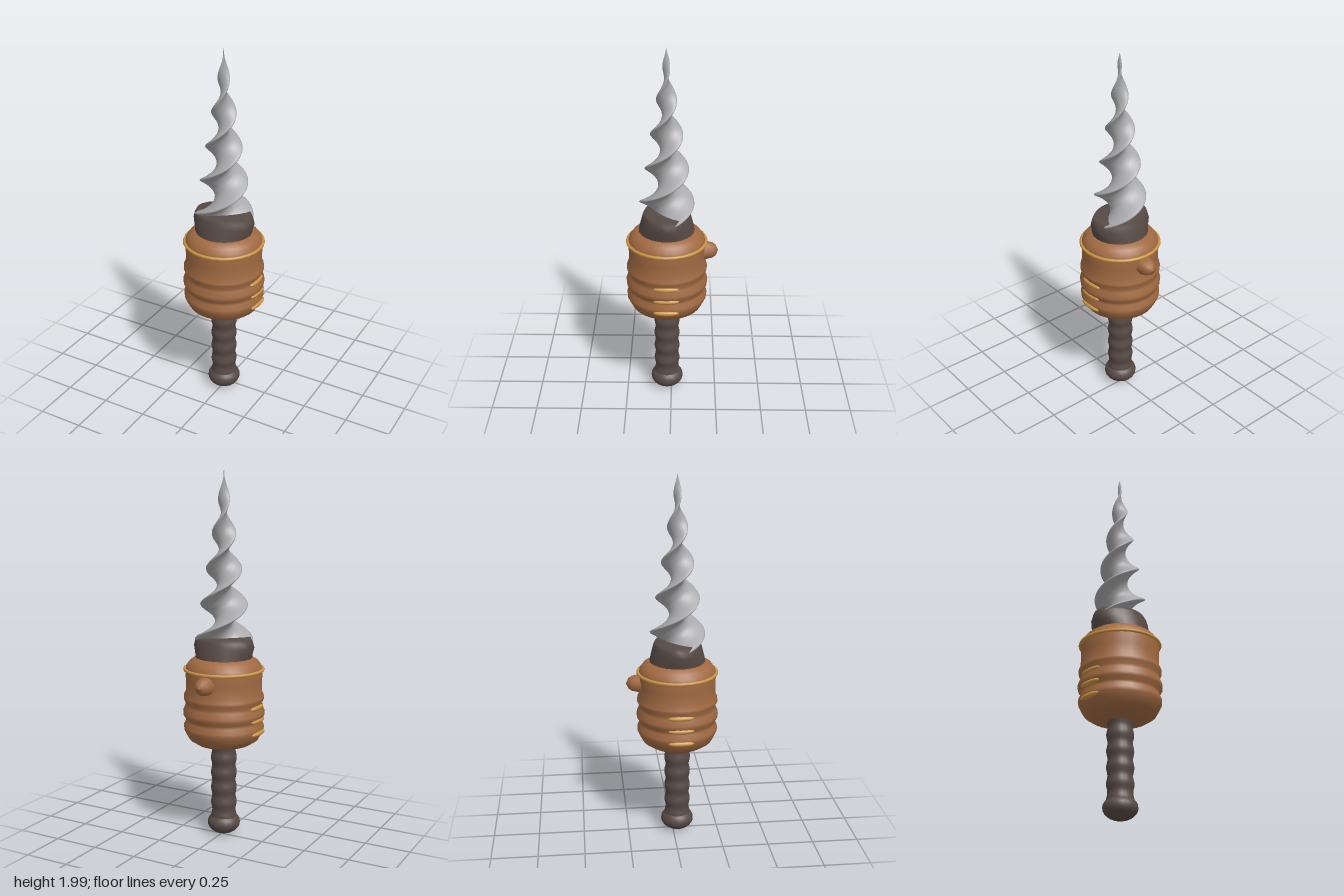
import * as THREE from 'three';
import { mergeVertices } from 'three/addons/utils/BufferGeometryUtils.js';

const material = (name, color) => {
  const m = new THREE.MeshStandardMaterial({ color });
  m.name = name;
  return m;
};

// Move every vertex by a rule, then weld and smooth
function reshape(geometry, rule) {
  const g = geometry.clone();
  g.deleteAttribute('uv');
  g.deleteAttribute('normal');
  const p = g.attributes.position;
  const v = new THREE.Vector3();
  for (let i = 0; i < p.count; i++) {
    rule(v.fromBufferAttribute(p, i));
    p.setXYZ(i, v.x, v.y, v.z);
  }
  const welded = mergeVertices(g, 1e-5);
  welded.computeVertexNormals();
  return welded;
}

const lathe = (points, segments) =>
  new THREE.LatheGeometry(points.map(([r, y]) => new THREE.Vector2(r, y)), segments);

export function createModel() {
  const steel = material('steel', 0xaaaaac);
  const leather = material('brown casing', 0xa16a42);
  const dark = material('dark grip', 0x574a45);
  const gold = material('gold trim', 0xcb9542);

  const group = new THREE.Group();
  const add = (name, geometry, mat, x = 0, y = 0, z = 0) => {
    const mesh = new THREE.Mesh(geometry, mat);
    mesh.name = name;
    mesh.position.set(x, y, z + 0.025);
    group.add(mesh);
    return mesh;
  };

  // Pommel and rippled handle
  add('pommel', new THREE.SphereGeometry(0.09, 20, 14), dark, 0, 0.066, 0).scale.y = 0.7;
  const grip = [];
  for (let i = 0; i <= 40; i++) {
    const y = 0.08 + (i / 40) * 0.46;
    grip.push([0.068 + 0.0035 * Math.cos((y - 0.1) * Math.PI * 2 / 0.085), y]);
  }
  add('handle', lathe(grip, 20), dark);

  // Rounded casing with three ridges
  add('casing', lathe([
    [0, 0.507], [0.1, 0.511], [0.15, 0.525], [0.188, 0.55], [0.205, 0.58],
    [0.217, 0.605], [0.218, 0.625], [0.206, 0.65], [0.206, 0.665], [0.22, 0.685],
    [0.222, 0.705], [0.21, 0.735], [0.207, 0.752], [0.218, 0.775], [0.218, 0.79],
    [0.207, 0.815], [0.206, 0.87], [0.209, 0.93], [0.203, 0.955], [0.185, 0.98],
    [0.155, 1.0], [0.12, 1.004], [0, 1.004],
  ], 28), leather);

  // Gold band round the shoulder
  const band = add('shoulderBand', new THREE.TorusGeometry(0.211, 0.009, 8, 28), gold, 0, 0.936, 0);
  band.rotation.x = Math.PI / 2;

  // Gold bars on both sides
  for (const side of [-1, 1]) {
    [0.603, 0.673, 0.743].forEach((y, i) => {
      const bar = add('sideBar', new THREE.SphereGeometry(1, 14, 10), gold, side * [0.208, 0.206, 0.199][i], y, 0);
      bar.scale.set(0.018, 0.015, 0.07);
    });
  }

  // Knob at the back
  const knob = add('backKnob', lathe([
    [0.055, 0], [0.048, 0.03], [0.042, 0.055], [0.03, 0.073], [0, 0.087],
  ], 10), leather, 0, 0.878, -0.19);
  knob.rotation.x = -Math.PI / 2;

  // Collar: tapers front to back, flares into ears at the sides
  const collar = lathe([
    [0.152, 0.99], [0.146, 1.02], [0.136, 1.06], [0.128, 1.09], [0.118, 1.11], [0, 1.11],
  ], 24);
  add('collar', reshape(collar, (v) => {
    const r = Math.hypot(v.x, v.z) || 1;
    const c = v.x / r;
    const rise = THREE.MathUtils.clamp((v.y - 1.0) / 0.06, 0, 1);
    if (r < 0.5) v.x += Math.sign(v.x) * 0.036 * rise * c * c;
  }), dark);

  // Twisted two-edged blade tapering to a point
  const bottom = 1.06, height = 0.93;
  const blade = new THREE.CylinderGeometry(1, 1, height, 24, 110);
  add('spiralBlade', reshape(blade, (v) => {
    const y = v.y + height / 2 + bottom;
    const w = Math.max(0.0008, 0.145 * Math.pow(Math.max(0, 1.99 - y) / 0.82, 0.88));
    const a = (y - 1.26) * Math.PI / 0.19;
    const x = v.x * w, z = v.z * w * 0.34;
    v.set(x * Math.cos(a) + z * Math.sin(a), y, -x * Math.sin(a) + z * Math.cos(a));
  }), steel);

  return group;
}
